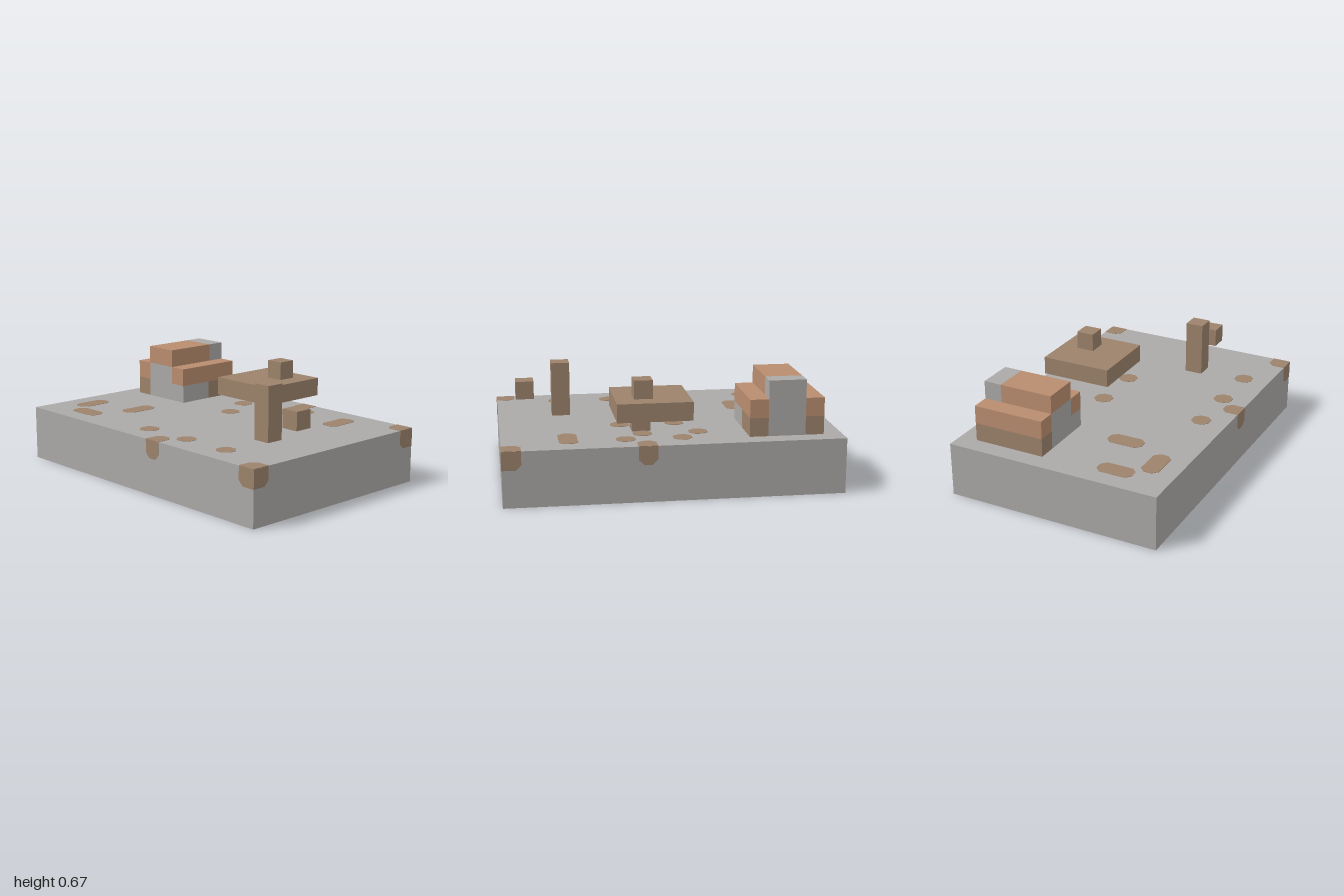
import * as THREE from 'three';

const U = 1 / 9;             // size of one block
const W = 12, D = 18, H = 3; // base size in blocks

const make = (name, color) => {
  const m = new THREE.MeshStandardMaterial({ color, side: THREE.DoubleSide });
  m.name = name;
  return m;
};

export function createModel() {
  const stone = make('stone grey', 0xaba9a7);
  const earth = make('earth brown', 0x9c826b);
  const clay = make('clay orange', 0xb98d6f);
  const model = new THREE.Group();

  const add = (parent, name, geo, mat) => {
    const mesh = new THREE.Mesh(geo, mat);
    mesh.name = name;
    parent.add(mesh);
    return mesh;
  };

  // Blocks become a hollow shell: only faces with no neighbour are kept,
  // and blocks resting on the base have no underside.
  const SIDES = [[1, 0, 0], [-1, 0, 0], [0, 1, 0], [0, -1, 0], [0, 0, 1], [0, 0, -1]];
  function blocks(name, boxes, colorOf) {
    const cells = new Map();
    for (const [x, y, z, w, h, d] of boxes)
      for (let i = x; i < x + w; i++)
        for (let j = y; j < y + h; j++)
          for (let k = z; k < z + d; k++) cells.set([i, j, k].join(), [i, j, k]);
    const points = new Map();
    for (const c of cells.values()) {
      const mat = colorOf(...c);
      if (!points.has(mat)) points.set(mat, []);
      for (const s of SIDES) {
        const n = c.map((v, a) => v + s[a]);
        if (cells.has(n.join()) || n[1] < H) continue;
        const axis = s.findIndex((v) => v !== 0);
        const corner = (p, q) => {
          const v = [...c];
          v[axis] += s[axis] > 0 ? 1 : 0;
          v[(axis + 1) % 3] += p;
          v[(axis + 2) % 3] += q;
          return [(v[0] - W / 2) * U, v[1] * U, (v[2] - D / 2) * U];
        };
        const f = [corner(0, 0), corner(1, 0), corner(1, 1), corner(0, 1)];
        if (s[axis] < 0) f.reverse();
        for (const e of [0, 1, 2, 0, 2, 3]) points.get(mat).push(...f[e]);
      }
    }
    const group = new THREE.Group();
    group.name = name;
    for (const [mat, list] of points) {
      const geo = new THREE.BufferGeometry();
      geo.setAttribute('position', new THREE.Float32BufferAttribute(list, 3));
      geo.computeVertexNormals();
      add(group, `${name} ${mat.name}`, geo, mat);
    }
    model.add(group);
  }

  // Base: open-bottomed slab, its top pierced under the hollow blocks
  const base = new THREE.Group();
  base.name = 'base';
  model.add(base);
  const rect = (x, z, w, d, Type) => new Type([[x, z], [x + w, z], [x + w, z + d], [x, z + d]]
    .map(([a, b]) => new THREE.Vector2((a - W / 2) * U, (D / 2 - b) * U)));
  const top = rect(0, 0, W, D, THREE.Shape);
  top.holes = [[7, 1, 4, 4], [8, 10, 1, 1], [4, 14, 1, 1]].map((r) => rect(...r, THREE.Path));
  add(base, 'baseTop', new THREE.ShapeGeometry(top).rotateX(-Math.PI / 2), stone).position.y = H * U;
  for (let i = 0; i < 4; i++) {
    const long = i % 2 === 1;
    const wall = new THREE.PlaneGeometry((long ? D : W) * U, H * U);
    wall.translate(0, H * U / 2, (long ? W : D) * U / 2).rotateY(i * Math.PI / 2);
    add(base, 'baseWall', wall, stone);
  }

  // Thin patch with clipped corners, except where it meets the edge of its face
  function patchPlate(u, v, w, h, maxU, maxV, cut = 0.28) {
    const pts = [];
    [[0, 0], [1, 0], [1, 1], [0, 1]].forEach(([p, q], i) => {
      const a = u + p * w, b = v + q * h;
      const da = p ? -cut : cut, db = q ? -cut : cut;
      if (a === 0 || a === maxU || b === 0 || b === maxV) pts.push([a, b]);
      else if (i % 2) pts.push([a + da, b], [a, b + db]);
      else pts.push([a, b + db], [a + da, b]);
    });
    const shape = new THREE.Shape(pts.map(([a, b]) =>
      new THREE.Vector2((a - maxU / 2) * U, (b - maxV / 2) * U)));
    return new THREE.ExtrudeGeometry(shape, { depth: 0.004, bevelEnabled: false }).translate(0, 0, -0.002);
  }

  // Ground patches: x, z, width, depth in blocks
  const ground = [
    [2, 1, 2, 1], [1, 2, 1, 2], [3, 4, 2, 1], [1, 8, 1, 1], [1, 11, 1, 1], [1, 14, 1, 1],
    [9, 14, 2, 1], [9, 7, 1, 1], [9, 10, 1, 1], [0, 10, 1, 1], [11, 10, 1, 1],
    [0, 17, 1, 1], [11, 17, 1, 1], [7, 8, 1, 1], [10, 8, 1, 1], [7, 11, 1, 1], [10, 11, 1, 1],
  ];
  for (const p of ground)
    add(base, 'groundPatch', patchPlate(...p, W, D).rotateX(Math.PI / 2), earth).position.y = H * U;

  // Patches folding down over the walls
  for (const x of [0, W - 1])
    add(base, 'frontWallPatch', patchPlate(x, 2, 1, 1, W, H), earth).position.set(0, H * U / 2, D * U / 2);
  for (const side of [-1, 1])
    for (const z of [10, 17])
      add(base, 'sideWallPatch', patchPlate(D - 1 - z, 2, 1, 1, D, H).rotateY(Math.PI / 2), earth)
        .position.set(side * W * U / 2, H * U / 2, 0);

  // Stepped house: orange roof, brown foot, grey end wall and entrance
  blocks('house', [[7, 3, 1, 4, 2, 4], [7, 5, 2, 4, 1, 2]], (x, y, z) => {
    const middle = z === 2 || z === 3;
    if (middle) return x === 10 || y < 5 ? stone : clay;
    if (y === 4) return clay;
    return z === 4 && x < 9 ? stone : earth;
  });

  // Table on one leg with a knob on top
  blocks('table', [[8, 3, 10, 1, 1, 1], [7, 4, 8, 4, 1, 4], [9, 5, 10, 1, 1, 1]], () => earth);

  // Tall post and floating block
  blocks('post', [[4, 3, 14, 1, 3, 1]], () => earth);
  blocks('floatingBlock', [[4, 4, 16, 1, 1, 1]], () => earth);

  return model;
}
